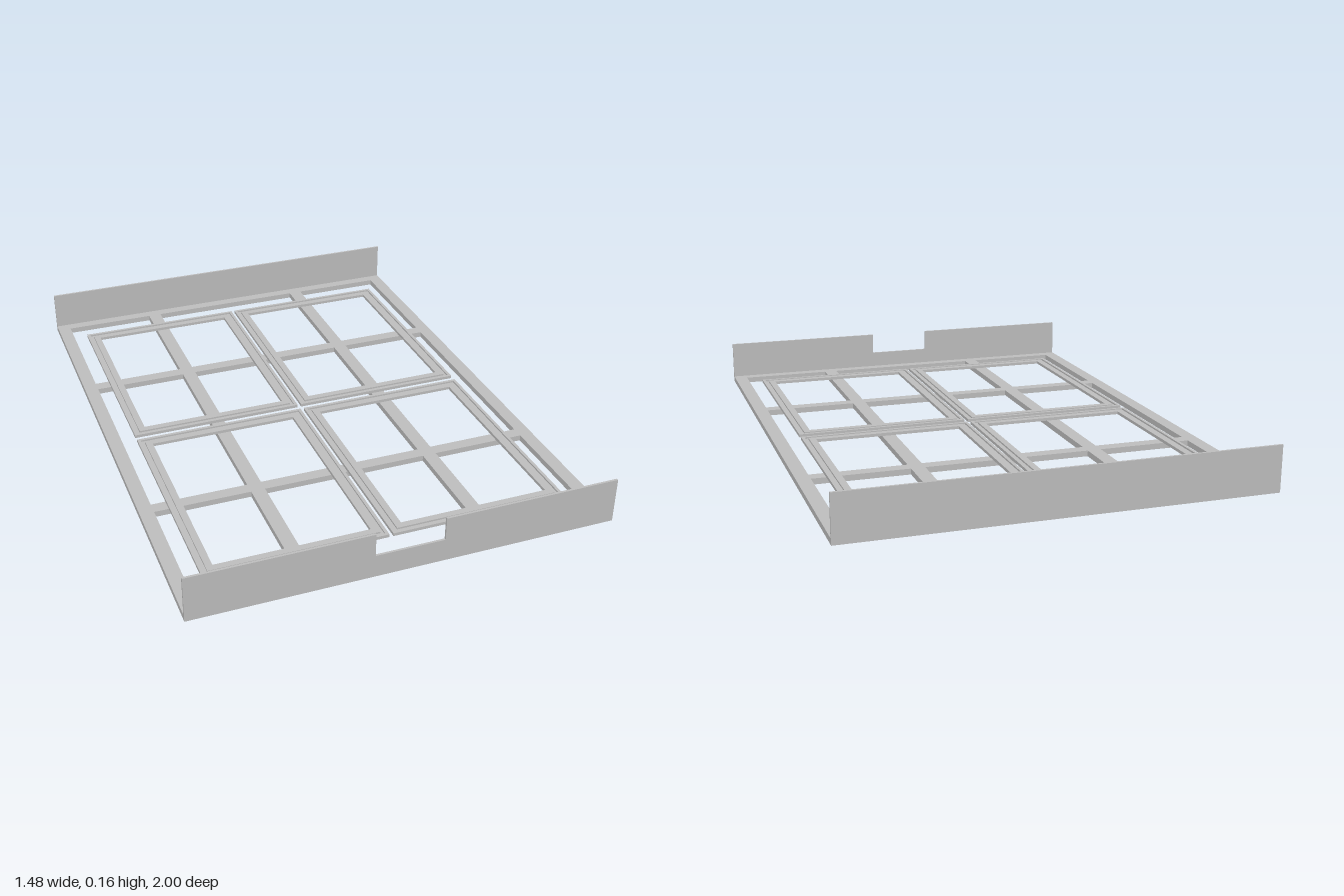
import * as THREE from 'three';

const HALF_W = 0.739, HALF_D = 1, BASE_H = 0.021, WALL_H = 0.163, WALL_T = 0.008;

// Counter-clockwise rectangle outline
const rect = (Type, x0, y0, x1, y1) => {
  const p = new Type();
  p.moveTo(x0, y0);
  p.lineTo(x1, y0);
  p.lineTo(x1, y1);
  p.lineTo(x0, y1);
  p.closePath();
  return p;
};

// Lay an outline with holes flat, rising from y by the given height
function flatSlab(shape, y, height) {
  const g = new THREE.ExtrudeGeometry(shape, { depth: height, bevelEnabled: false });
  g.rotateX(-Math.PI / 2);
  g.translate(0, y, 0);
  return g;
}

// Rectangular ring between two insets of a w x d rectangle
function ring(w, d, outer, inner, y, height) {
  const shape = rect(THREE.Shape, outer - w / 2, outer - d / 2, w / 2 - outer, d / 2 - outer);
  shape.holes.push(rect(THREE.Path, inner - w / 2, inner - d / 2, w / 2 - inner, d / 2 - inner));
  return flatSlab(shape, y, height);
}

export function createModel() {
  const model = new THREE.Group();
  model.name = 'windowFrameTray';
  const grey = new THREE.MeshStandardMaterial({ color: 0xc0c0c0 });
  grey.name = 'light grey';

  const add = (parent, name, geometry) => {
    const mesh = new THREE.Mesh(geometry, grey);
    mesh.name = name;
    parent.add(mesh);
    return mesh;
  };

  // Base lattice: border with two bars each way, leaving nine openings
  const base = rect(THREE.Shape, -HALF_W, -HALF_D, HALF_W, HALF_D);
  const xs = [[-0.69, -0.348], [-0.298, 0.298], [0.348, 0.69]];
  const zs = [[-0.953, -0.455], [-0.41, 0.41], [0.455, 0.953]];
  for (const [x0, x1] of xs) {
    for (const [z0, z1] of zs) base.holes.push(rect(THREE.Path, x0, z0, x1, z1));
  }
  add(model, 'baseLattice', flatSlab(base, 0, BASE_H));

  // Four grooved pane frames resting on the lattice
  const w = 0.632, d = 0.839;
  for (const sx of [-1, 1]) {
    for (const sz of [-1, 1]) {
      const pane = new THREE.Group();
      pane.name = `${sz > 0 ? 'front' : 'back'}${sx > 0 ? 'Left' : 'Right'}PaneFrame`;
      pane.position.set(sx * 0.323, 0, sz * 0.434);
      add(pane, 'outerRim', ring(w, d, 0, 0.011, BASE_H, 0.011));
      add(pane, 'groove', ring(w, d, 0.011, 0.023, BASE_H, 0.005));
      add(pane, 'innerRim', ring(w, d, 0.023, 0.047, BASE_H, 0.011));
      model.add(pane);
    }
  }

  // Plain back wall
  const back = add(model, 'backWall', new THREE.BoxGeometry(2 * HALF_W, WALL_H, WALL_T));
  back.position.set(0, WALL_H / 2, -HALF_D + WALL_T / 2);

  // Front wall with a notch in its top edge
  const notch = [[-HALF_W, 0], [HALF_W, 0], [HALF_W, WALL_H], [0.12, WALL_H],
    [0.12, 0.081], [-0.12, 0.081], [-0.12, WALL_H], [-HALF_W, WALL_H]];
  const wall = new THREE.Shape(notch.map(([x, y]) => new THREE.Vector2(x, y)));
  const front = add(model, 'frontWall',
    new THREE.ExtrudeGeometry(wall, { depth: WALL_T, bevelEnabled: false }));
  front.position.z = HALF_D - WALL_T;

  return model;
}
